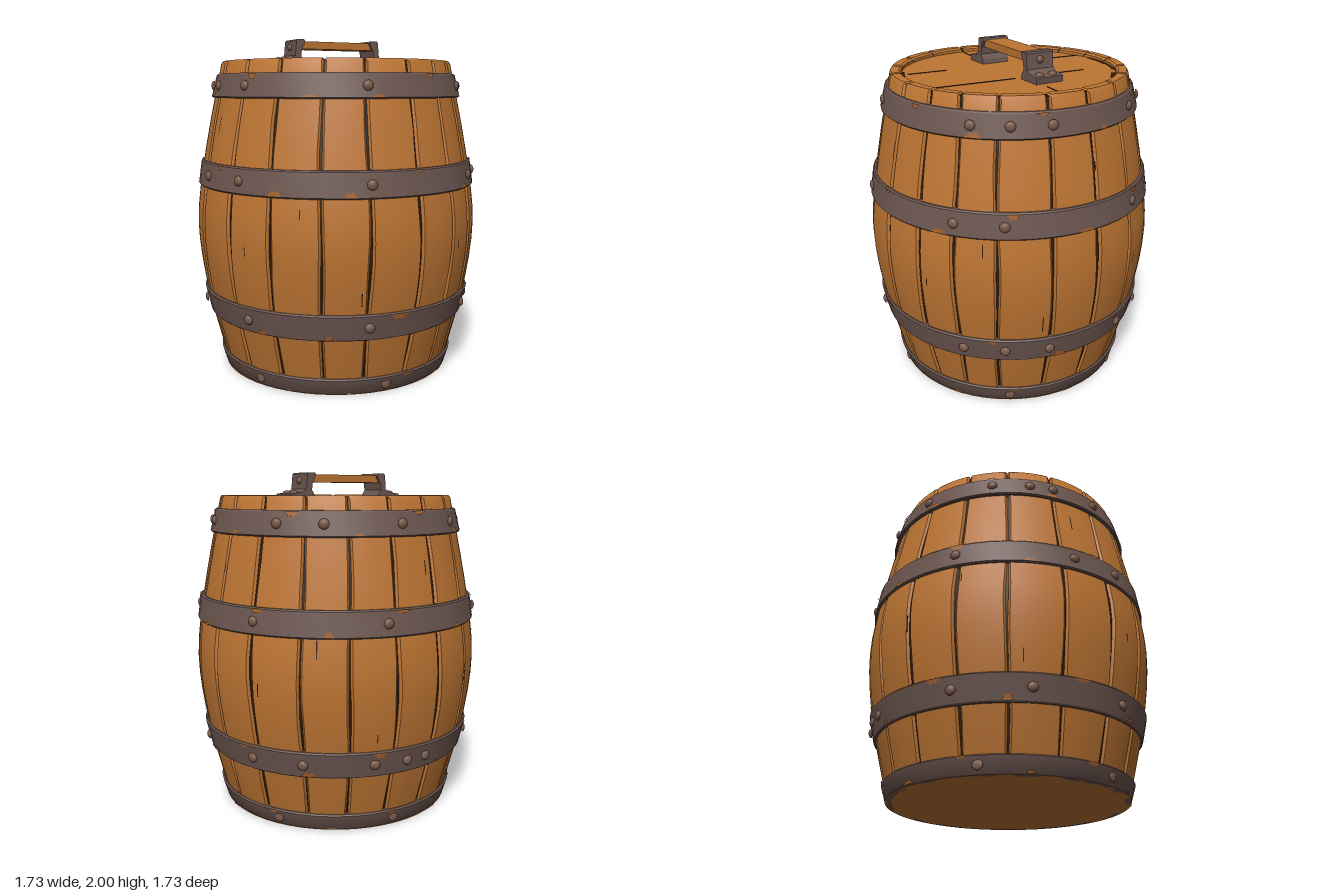
import * as THREE from 'three';
import { toCreasedNormals } from 'three/addons/utils/BufferGeometryUtils.js';

const mat = (name, color) => Object.assign(
  new THREE.MeshStandardMaterial({ color, side: THREE.DoubleSide }), { name });
const wood = mat('wood', 0xbd7533);
const rust = mat('rust', 0xa4622e);
const iron = mat('iron', 0x6d5751);
const rivetIron = mat('rivetIron', 0x7a5a4a);
const gap = mat('gapDark', 0x2c1a0e);

const rad = THREE.MathUtils.degToRad;
const v2 = (pts) => pts.map(([r, y]) => new THREE.Vector2(r, y));

// Outer barrel curve as [radius, height]
const OUTER = new THREE.SplineCurve(v2([[0.70, 0.01], [0.785, 0.34], [0.843, 0.64], [0.864, 0.9],
  [0.842, 1.14], [0.782, 1.48], [0.702, 1.855]])).getPoints(14).map((p) => [p.x, p.y]);
const RIM = [[0.692, 1.87], [0.645, 1.87], [0.632, 1.86], [0.632, 1.81]];

function radiusAt(y) {
  const i = OUTER.findIndex((p) => y <= p[1]);
  const [r0, y0] = OUTER[i - 1], [r1, y1] = OUTER[i];
  return r0 + (r1 - r0) * (y - y0) / (y1 - y0);
}

function add(parent, name, geometry, material) {
  const mesh = new THREE.Mesh(geometry, material);
  mesh.name = name;
  parent.add(mesh);
  return mesh;
}

// Sweep of a profile around y; 0 degrees is +z and 90 degrees is +x
const sweep = (pts, from = 0, to = 360, segs = 48) =>
  new THREE.LatheGeometry(v2(pts), segs, rad(from), rad(to - from));

// Seams wander and change width with height
const wander = (seam, y) => seam + 0.35 * Math.sin(y * 6 + seam);
const halfGap = (seam, y) => 0.22 + 0.3 * Math.max(0, Math.sin(y * 9 + seam * 1.7));

// One plank whose narrow long edges drop into the groove
function staveGeometry(from, to, lift) {
  const segs = 8, bevel = 0.8, pts = [...OUTER, ...RIM], n = pts.length;
  const g = sweep(pts, from, to, segs), p = g.attributes.position;
  for (let i = 0; i < p.count; i++) {
    const col = Math.floor(i / n), row = i % n;
    const edge = col === 0 || col === segs;
    let [r, y] = pts[row];
    const a0 = wander(from, y) + halfGap(from, y), a1 = wander(to, y) - halfGap(to, y);
    const inner = a0 + bevel + (a1 - a0 - 2 * bevel) * (col - 1) / (segs - 2);
    const a = rad(col === 0 ? a0 : col === segs ? a1 : inner);
    if (row < OUTER.length) r += lift - (edge ? 0.014 : 0);
    else if (row < n - 1 && edge) y -= 0.008;
    p.setXYZ(i, r * Math.sin(a), y, r * Math.cos(a));
  }
  return toCreasedNormals(g, rad(30));
}

const rivetGeometry = new THREE.SphereGeometry(0.03, 10, 5, 0, Math.PI * 2, 0, Math.PI / 2);

function buildBody(root) {
  const body = new THREE.Group();
  body.name = 'barrelBody';
  root.add(body);

  // Dark core seen between the planks
  add(body, 'grooveCore', sweep([...OUTER.map(([r, y]) => [r - 0.018, y]),
    [0.68, 1.857], [0.638, 1.857], [0.638, 1.8]], 0, 360, 72), gap);

  // Staves of uneven width; the last seam closes the ring
  const seams = [-67, -48, -28.5, -10.5, 10, 27.5, 43, 59, 80, 99, 118, 138, 156, 174, 193, 212, 232, 251, 272, 293];
  for (let i = 0; i + 1 < seams.length; i++)
    add(body, 'stave', staveGeometry(seams[i], seams[i + 1], 0.002 * Math.sin(i * 2.3)), wood);

  // Base
  const base = add(body, 'base', new THREE.CircleGeometry(0.711, 56), wood);
  base.rotation.x = Math.PI / 2;

  // Short grain cracks scattered between the bands
  for (let i = 0; i < 16; i++) {
    const a = i * 22.5 - 36, y0 = [1.03, 0.55, 1.45, 0.8][i % 4], length = 0.05 + 0.025 * (i % 3);
    const pts = [y0, y0 + length].map((y) => [radiusAt(y) + 0.004, y]);
    add(body, 'grainCrack', sweep(pts, a - 0.2, a + 0.2, 1), gap);
  }
}

// Ragged rust patch lying on a band, thinning out towards its ends
function rustGeometry(at, angle, width, edge, reach) {
  const segs = 6;
  const g = sweep([at(edge), at(edge + reach)], angle - width / 2, angle + width / 2, segs), p = g.attributes.position;
  for (let c = 0; c <= segs; c++) {
    const [r, y] = at(edge + reach * Math.sin(Math.PI * c / segs) * (c % 2 ? 0.65 : 1));
    const a = rad(angle - width / 2 + width * c / segs);
    p.setXYZ(c * 2 + 1, r * Math.sin(a), y, r * Math.cos(a));
  }
  g.computeVertexNormals();
  return g;
}

function buildHoops(root) {
  // Iron bands: lower and upper [radius, height], rivet angles, first rust angle
  const hoops = [
    { lo: [0.712, 0.0], hi: [0.738, 0.1], rivets: [0, 64, 124, 178, 239, 300], rustAt: -17 },
    { lo: [0.802, 0.345], hi: [0.834, 0.5], rivets: [-60, -10, 45, 62, 80, 116, 138, 166, 180, 189, 230, 260], rustAt: -26 },
    { lo: [0.856, 1.135], hi: [0.836, 1.285], rivets: [-62, -10, 43, 62, 119, 170, 231, 277], rustAt: -18 },
    { lo: [0.764, 1.655], hi: [0.733, 1.795], rivets: [-88, -65, -10, 48, 64, 81, 126, 146, 179, 211, 244, 261], rustAt: -6 },
  ];
  hoops.forEach(({ lo, hi, rivets, rustAt }, h) => {
    const group = new THREE.Group();
    group.name = 'hoop';
    root.add(group);
    const b = 0.008;
    const band = sweep([[lo[0] - 0.04, lo[1]], [lo[0] - b, lo[1]], [lo[0], lo[1] + b],
      [hi[0], hi[1] - b], [hi[0] - b, hi[1]], [hi[0] - 0.04, hi[1]]], 0, 360, 56);
    add(group, 'ironBand', toCreasedNormals(band, rad(30)), iron);

    const mid = [(lo[0] + hi[0]) / 2, (lo[1] + hi[1]) / 2];
    for (const deg of rivets) {
      const a = rad(deg), rivet = add(group, 'rivet', rivetGeometry, rivetIron);
      const out = new THREE.Vector3(Math.sin(a), 0, Math.cos(a));
      rivet.position.set(out.x * mid[0], mid[1], out.z * mid[0]);
      rivet.quaternion.setFromUnitVectors(new THREE.Vector3(0, 1, 0), out);
      rivet.scale.set(1, h === 0 ? 0.3 : 0.65, 1);
    }

    // Rust along the lower and upper edges in turn
    const at = (t) => [lo[0] + (hi[0] - lo[0]) * t + 0.004, lo[1] + (hi[1] - lo[1]) * t];
    for (let i = 0; i < 13; i++) {
      const reach = 0.14 + 0.06 * ((i + h) % 3), width = 4 + (i * 3 + h) % 5, low = i % 2 === 0;
      add(group, 'rustPatch', rustGeometry(at, rustAt + i * 27.7, width, low ? 0.05 : 0.96, low ? reach : -reach), rust);
    }
  });
}

function buildLid(root) {
  const lid = new THREE.Group();
  lid.name = 'lid';
  root.add(lid);
  add(lid, 'lidDisc', new THREE.CylinderGeometry(0.637, 0.637, 0.04, 48), wood).position.y = 1.822;

  // Dark crevices where the lid meets the staves: [from, to, width]
  for (const [a, b, w] of [[8, 22, 0.012], [35, 110, 0.005], [136, 148, 0.03], [155, 170, 0.018],
    [170, 188, 0.028], [215, 300, 0.005], [338, 350, 0.02]])
    add(lid, 'crevice', sweep([[0.634, 1.845], [0.634 - w, 1.845]], a, b, 10), gap);

  // Board seams and splits: [x, z, size x, size z]
  for (const [x, z, sx, sz] of [[-0.2, -0.4, 0.007, 0.4], [0.18, -0.26, 0.005, 0.3], [0.2, 0.33, 0.007, 0.54],
    [-0.17, 0.45, 0.006, 0.24], [-0.51, 0.025, 0.2, 0.005], [0.52, -0.01, 0.14, 0.005]])
    add(lid, 'boardSeam', new THREE.BoxGeometry(sx, 0.006, sz), gap).position.set(x, 1.842, z);
}

function buildHandle(root) {
  const handle = new THREE.Group();
  handle.name = 'handle';
  handle.position.set(-0.008, 0, -0.04);
  handle.rotation.y = 0.065;
  root.add(handle);
  add(handle, 'handleBar', new THREE.BoxGeometry(0.5, 0.045, 0.14), wood).position.y = 1.967;

  // Bent iron bracket, same at both ends
  const shape = new THREE.Shape(v2([[0.385, 1.835], [0.39, 1.878], [0.315, 1.888], [0.288, 1.905], [0.28, 1.992],
    [0.272, 2.0], [0.228, 2.0], [0.222, 1.985], [0.245, 1.94], [0.25, 1.9], [0.23, 1.87], [0.225, 1.835]]));
  const bracket = new THREE.ExtrudeGeometry(shape, { depth: 0.175, bevelEnabled: false }).translate(0, 0, -0.0875);
  for (const turn of [0, Math.PI]) {
    const end = new THREE.Group();
    end.name = 'handleBracket';
    end.rotation.y = turn;
    handle.add(end);
    add(end, 'bracket', bracket, iron);
    for (const z of [-0.042, 0.042]) {
      const rivet = add(end, 'bracketRivet', rivetGeometry, rivetIron);
      rivet.position.set(0.345, 1.88, z);
      rivet.scale.set(0.9, 0.6, 0.9);
    }
    const side = add(end, 'bracketRivet', rivetGeometry, rivetIron);
    side.position.set(0.282, 1.955, 0);
    side.rotation.z = -Math.PI / 2;
    side.scale.set(0.75, 0.6, 0.75);
  }
}

export function createModel() {
  const root = new THREE.Group();
  root.name = 'barrel';
  buildBody(root);
  buildHoops(root);
  buildLid(root);
  buildHandle(root);
  return root;
}
